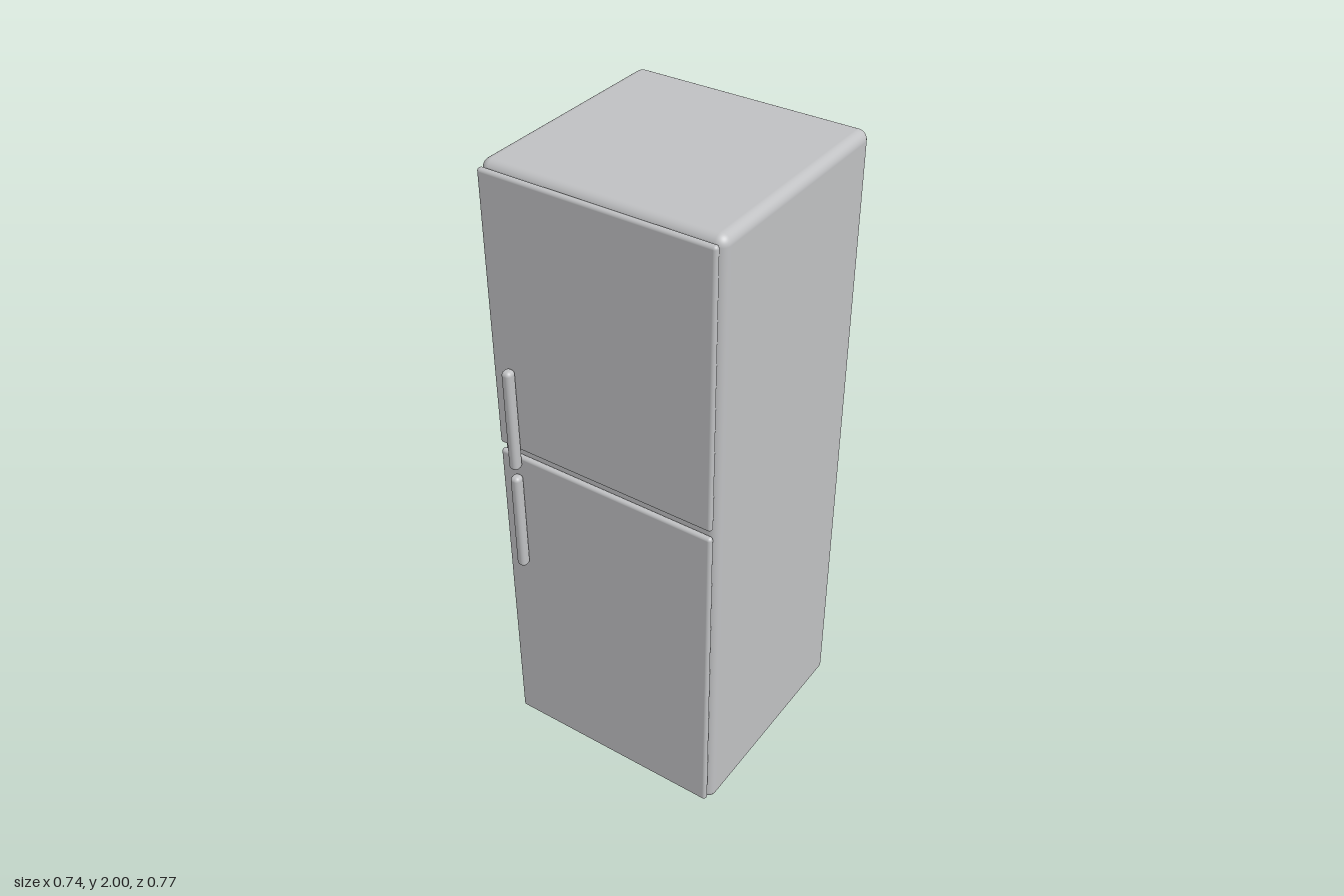
import * as THREE from 'three';
import { RoundedBoxGeometry } from 'three/addons/geometries/RoundedBoxGeometry.js';

export function createModel() {
  const group = new THREE.Group();
  group.name = 'refrigerator';

  const steel = new THREE.MeshStandardMaterial({ color: 0xc0c1c3 });
  steel.name = 'light grey steel';

  // Rounded box given by its lower and upper limits on each axis
  function roundedPart(name, [x0, x1], [y0, y1], [z0, z1], radius) {
    const geometry = new RoundedBoxGeometry(x1 - x0, y1 - y0, z1 - z0, 5, radius);
    const mesh = new THREE.Mesh(geometry, steel);
    mesh.name = name;
    mesh.position.set((x0 + x1) / 2, (y0 + y1) / 2, (z0 + z1) / 2);
    group.add(mesh);
  }

  // Cabinet
  roundedPart('cabinet', [-0.37, 0.37], [0, 2], [-0.384, 0.33], 0.03);

  // Doors, slightly narrower than the cabinet, with a gap between them
  const doorX = [-0.36, 0.36];
  const doorZ = [0.33, 0.35];
  roundedPart('upperDoor', doorX, [1.12, 1.985], doorZ, 0.0099);
  roundedPart('lowerDoor', doorX, [0.02, 1.096], doorZ, 0.0099);

  // Upright bar handles
  const handleX = [-0.309, -0.277];
  const handleZ = [0.35, 0.384];
  roundedPart('upperHandle', handleX, [1.064, 1.404], handleZ, 0.0135);
  roundedPart('lowerHandle', handleX, [0.697, 1.037], handleZ, 0.0135);

  return group;
}
